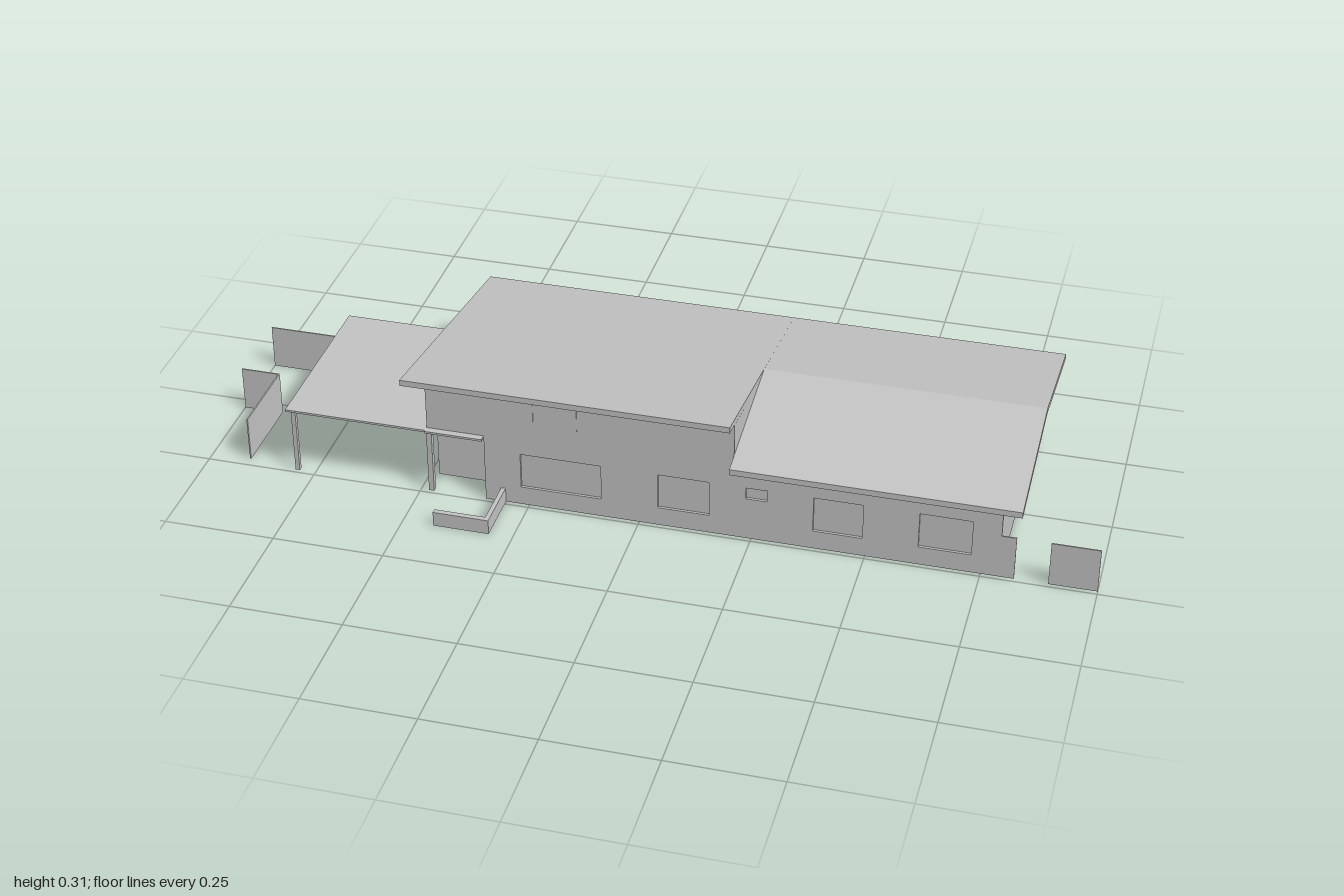
import * as THREE from 'three';

export function createModel() {
  const house = new THREE.Group();
  house.name = 'house';
  const grey = new THREE.MeshStandardMaterial({ color: 0xc4c4c4, side: THREE.DoubleSide });
  grey.name = 'plain grey';

  const add = (name, geometry) => {
    const mesh = new THREE.Mesh(geometry, grey);
    mesh.name = name;
    house.add(mesh);
    return mesh;
  };
  // box given by its limits on each axis
  const box = (name, x0, x1, y0, y1, z0, z1) =>
    add(name, new THREE.BoxGeometry(x1 - x0, y1 - y0, z1 - z0)
      .translate((x0 + x1) / 2, (y0 + y1) / 2, (z0 + z1) / 2));

  // flat outline with rectangular holes [a0, a1, y0, y1]
  const panel = (points, holes, depth) => {
    const shape = new THREE.Shape(points.map(([a, y]) => new THREE.Vector2(a, y)));
    for (const [a0, a1, y0, y1] of holes) {
      shape.holes.push(new THREE.Path(
        [[a0, y0], [a0, y1], [a1, y1], [a1, y0]].map(([a, y]) => new THREE.Vector2(a, y))));
    }
    return new THREE.ExtrudeGeometry(shape, { depth, bevelEnabled: false });
  };
  // wall facing z, drawn in x and y
  const wallZ = (name, points, holes, z0, z1) =>
    add(name, panel(points, holes, z1 - z0).translate(0, 0, z0));
  // wall or roof section running along x, drawn in z and y
  const wallX = (name, points, holes, x0, x1) =>
    add(name, panel(points, holes, x1 - x0).rotateY(-Math.PI / 2).translate(x1, 0, 0));

  const L = -0.48, R = 0.79, F = 0.24, B = -0.315, T = 0.014;
  const STEP = 0.21, PORCH = -0.35, PZ = 0.175, CANOPY = 0.165;

  // front wall, with the porch opening and the step down to the low roof
  const frontWindows = [
    [-0.268, -0.086, 0.045, 0.131], [0.042, 0.156, 0.045, 0.131], [0.237, 0.284, 0.103, 0.131],
    [0.385, 0.493, 0.045, 0.131], [0.614, 0.728, 0.045, 0.131],
  ];
  const clerestory = [0, 1, 2].map(i => [-0.33 + i * 0.098, -0.236 + i * 0.098, 0.212, 0.268]);
  wallZ('frontWall', [[PORCH, 0], [R, 0], [R, 0.199], [STEP, 0.199], [STEP, 0.289], [L, 0.289],
    [L, CANOPY], [PORCH, CANOPY]], [...frontWindows, ...clerestory], F - T, F);
  for (const [x0, x1, y0, y1] of frontWindows) box('frontWindow', x0, x1, y0, y1, F - 0.01, F - 0.006);
  for (const [x0, x1, y0, y1] of clerestory) box('clerestoryWindow', x0, x1, y0, y1, F - 0.006, F + 0.002);

  // back wall
  const backWindows = [
    [0.617, 0.725, 0.044, 0.135], [0.322, 0.396, 0.102, 0.137], [0.121, 0.188, 0.102, 0.137],
    [-0.168, -0.067, 0.07, 0.135], [-0.436, -0.228, 0.045, 0.139],
  ];
  wallZ('backWall', [[L, 0], [R, 0], [R, 0.197], [L, 0.197]], backWindows, B, B + T);
  for (const [x0, x1, y0, y1] of backWindows) box('backWindow', x0, x1, y0, y1, B + 0.006, B + 0.01);

  // gable walls
  const eastWindows = [[0.1, 0.17, 0.108, 0.143], [-0.065, -0.01, 0.062, 0.143]];
  wallX('eastGable', [[B, 0], [F, 0], [F, 0.198], [-0.04, 0.242], [B, 0.197]], eastWindows, R - T, R);
  for (const [z0, z1, y0, y1] of eastWindows) box('eastWindow', R - 0.01, R - 0.006, y0, y1, z0, z1);
  wallX('westGable', [[B, 0], [PZ, 0], [PZ, CANOPY], [F, CANOPY], [F, 0.288], [B, 0.197]], [], L, L + T);
  wallX('upperStepWall', [[-0.04, 0.238], [F, 0.19], [F, 0.288], [-0.04, 0.243]], [], STEP - T, STEP);
  box('westDoor', L - 0.003, L, 0, 0.14, -0.27, -0.165);

  // roofs: a long single slope and a lower gable
  wallX('highRoof', [[0.285, 0.296], [0.285, 0.31], [-0.35, 0.205], [-0.35, 0.191]], [], -0.52, STEP);
  wallX('lowRoof', [[0.285, 0.19], [0.285, 0.204], [-0.04, 0.256], [-0.35, 0.205], [-0.35, 0.191],
    [-0.04, 0.242]], [], STEP, 0.835);

  // recessed porch
  box('porchBackWall', L, PORCH, 0, CANOPY, PZ - T, PZ);
  box('porchSideWall', PORCH, PORCH + T, 0, CANOPY, PZ - T, F);
  box('porchCanopy', L, PORCH, 0.161, 0.166, PZ, 0.256);
  box('porchPost', -0.482, -0.47, 0, 0.161, 0.229, 0.241);

  // carport
  box('carportRoof', -0.805, L, 0.161, 0.166, -0.16, 0.252);
  for (const z of [-0.15, 0.235]) box('carportPost', -0.797, -0.787, 0, 0.161, z - 0.005, z + 0.005);

  // garden screens
  const H = 0.105;
  box('backScreen', -1, L, 0, H, -0.159, -0.156);
  box('cornerScreen', -1, -0.91, 0, H, 0.028, 0.031);
  box('cornerScreen', -0.912, -0.909, 0, H, 0.028, 0.225);
  box('eastScreen', R, 0.822, 0, H, 0.237, 0.24);
  box('eastScreen', 0.895, 1, 0, H, 0.237, 0.24);

  // low planter wall
  box('planterFront', -0.43, -0.304, 0, 0.035, 0.355, 0.367);
  box('planterSide', -0.314, -0.304, 0, 0.035, F, 0.367);

  // awnings and outdoor unit at the back
  for (const [x0, x1] of [[0.6, 0.74], [-0.18, -0.055]]) {
    box('awning', x0, x1, 0.146, 0.15, -0.367, B);
  }
  box('outdoorUnit', 0.22, 0.285, 0, 0.044, -0.367, -0.322);
  box('outdoorUnitLid', 0.226, 0.279, 0.044, 0.053, -0.359, -0.33);

  // inner partitions on both sides of a corridor
  const W = 0.008, top = 0.185;
  for (const [x0, x1] of [[-0.1, 0.12], [0.17, 0.42], [0.47, 0.776]]) {
    box('corridorWall', x0, x1, 0, top, 0.03, 0.03 + W);
    box('corridorWall', x0, x1, 0, top, -0.07 - W, -0.07);
  }
  for (const x of [-0.1, 0.2, 0.33, 0.56]) box('frontPartition', x, x + W, 0, top, 0.03, F - T);
  for (const x of [-0.2, 0.09, 0.25, 0.42]) box('backPartition', x, x + W, 0, top, B + T, -0.07);

  // simple furniture blocks
  const furniture = [
    [0.66, 0.74, 0.08, 0.18], [0.44, 0.52, 0.08, 0.19], [0.55, 0.65, -0.27, -0.17],
    [0.3, 0.37, -0.29, -0.23], [0.14, 0.2, -0.29, -0.22], [0.06, 0.15, 0.1, 0.19],
    [-0.05, 0.04, -0.26, -0.16], [-0.25, -0.15, 0.08, 0.16], [-0.4, -0.28, -0.25, -0.17],
    [-0.4, -0.33, 0, 0.08], [0.24, 0.3, 0.14, 0.21],
  ];
  for (const [x0, x1, z0, z1] of furniture) box('furniture', x0, x1, 0.002, 0.05, z0, z1);

  return house;
}
